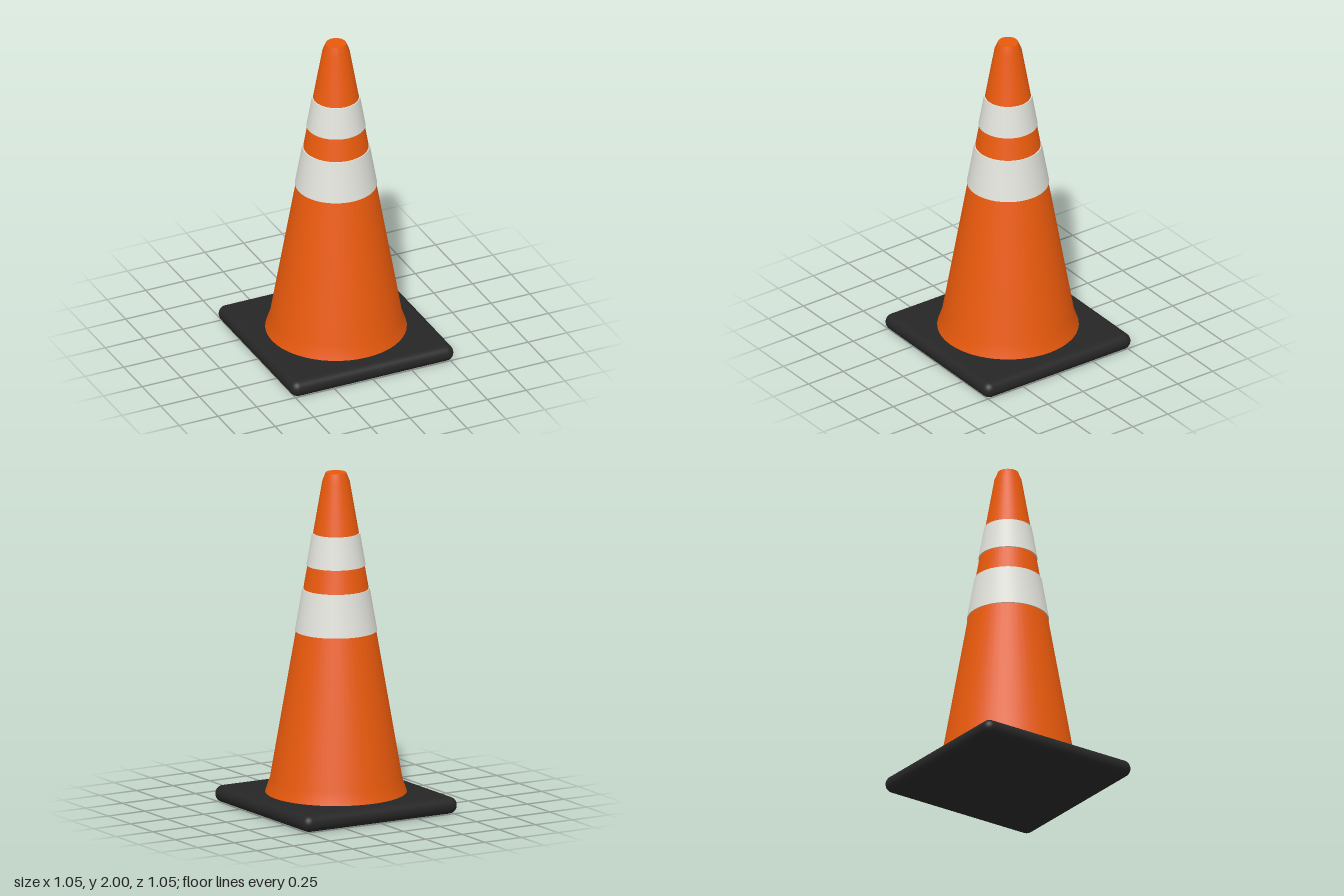
import * as THREE from 'three';
import { toCreasedNormals } from 'three/addons/utils/BufferGeometryUtils.js';
import { RoundedBoxGeometry } from 'three/addons/geometries/RoundedBoxGeometry.js';

const SEGMENTS = 48;

function material(name, color) {
  const m = new THREE.MeshStandardMaterial({ color });
  m.name = name;
  return m;
}

// Radius of the straight cone wall at height y
const wallRadius = (y) => THREE.MathUtils.mapLinear(y, 0.18, 1.95, 0.386, 0.08);

// Turned part from [radius, height] pairs, listed from bottom to top
function turned(name, profile, mat) {
  const points = profile.map(([r, y]) => new THREE.Vector2(r, y));
  const geometry = toCreasedNormals(new THREE.LatheGeometry(points, SEGMENTS), 0.6);
  const mesh = new THREE.Mesh(geometry, mat);
  mesh.name = name;
  return mesh;
}

// Thin sleeve that hugs the cone wall
function sleeve(name, y0, y1, mat) {
  const t = 0.006;
  return turned(name, [
    [wallRadius(y0) - 0.002, y0],
    [wallRadius(y0) + t, y0],
    [wallRadius(y1) + t, y1],
    [wallRadius(y1) - 0.002, y1],
  ], mat);
}

export function createModel() {
  const orange = material('orange plastic', 0xe8590c);
  const white = material('reflective white', 0xe4e4de);
  const black = material('black rubber', 0x262626);

  const group = new THREE.Group();
  group.name = 'trafficCone';

  // Square rubber foot with rounded edges
  const base = new THREE.Mesh(new RoundedBoxGeometry(1.05, 0.1, 1.05, 5, 0.05), black);
  base.name = 'base';
  base.position.y = 0.05;
  group.add(base);

  // Cone body with flared skirt, tapered tip and flat top
  group.add(turned('coneBody', [
    [0.415, 0.095],
    [0.413, 0.1],
    [0.386, 0.18],
    [0.08, 1.95],
    [0.06, 2],
    [0, 2],
  ], orange));

  // Reflective bands
  group.add(sleeve('lowerBand', 1.06, 1.31, white));
  group.add(sleeve('upperBand', 1.45, 1.64, white));

  return group;
}
